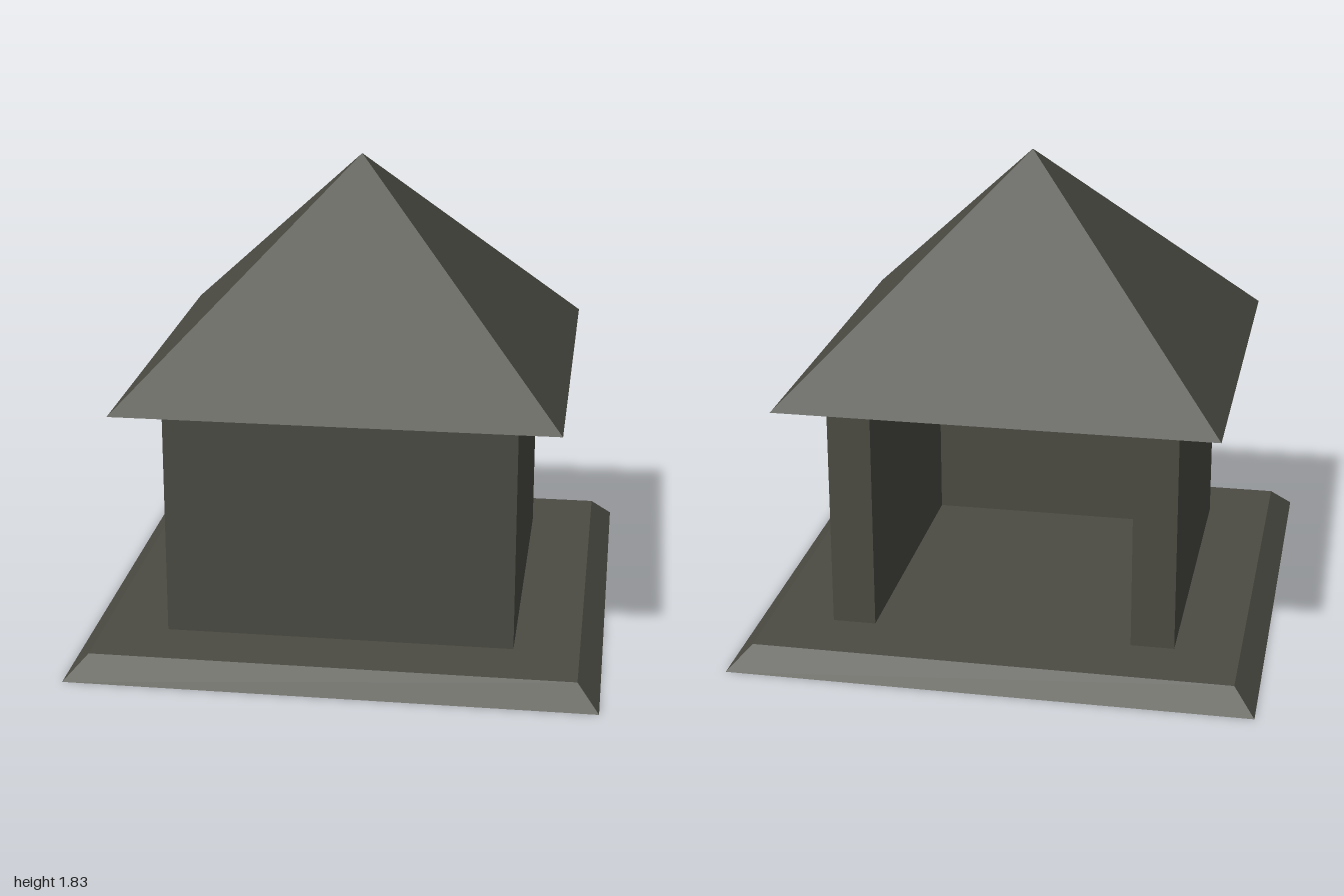
import * as THREE from 'three';

const U = 1 / 12; // modelling unit

const stone = new THREE.MeshStandardMaterial({ color: 0x4b4b43 });
stone.name = 'darkStone';

// Square frustum with half-widths given at top and bottom
function squareFrustum(name, top, bottom, y, height) {
  const geo = new THREE.CylinderGeometry(top * Math.SQRT2, bottom * Math.SQRT2, height, 4)
    .rotateY(Math.PI / 4)
    .toNonIndexed();
  geo.computeVertexNormals(); // flat faces
  const mesh = new THREE.Mesh(geo, stone);
  mesh.name = name;
  mesh.position.y = y + height / 2;
  return mesh;
}

export function createModel() {
  const group = new THREE.Group();
  group.name = 'shelter';

  // Bevelled base slab
  group.add(squareFrustum('base', 11 * U, 12 * U, 0, U));

  // U-shaped walls, open at the back (-z)
  const o = 8 * U, i = 6 * U;
  const plan = new THREE.Shape([
    [-o, -o], [o, -o], [o, o], [i, o], [i, -i], [-i, -i], [-i, o], [-o, o],
  ].map(([x, y]) => new THREE.Vector2(x, y)));
  const wallGeo = new THREE.ExtrudeGeometry(plan, { depth: 11 * U, bevelEnabled: false })
    .rotateX(-Math.PI / 2);
  const walls = new THREE.Mesh(wallGeo, stone);
  walls.name = 'walls';
  walls.position.y = U;
  group.add(walls);

  // Pyramid roof with overhanging eaves and a flat underside
  group.add(squareFrustum('roof', 0, 10 * U, 12 * U, 10 * U));

  return group;
}
